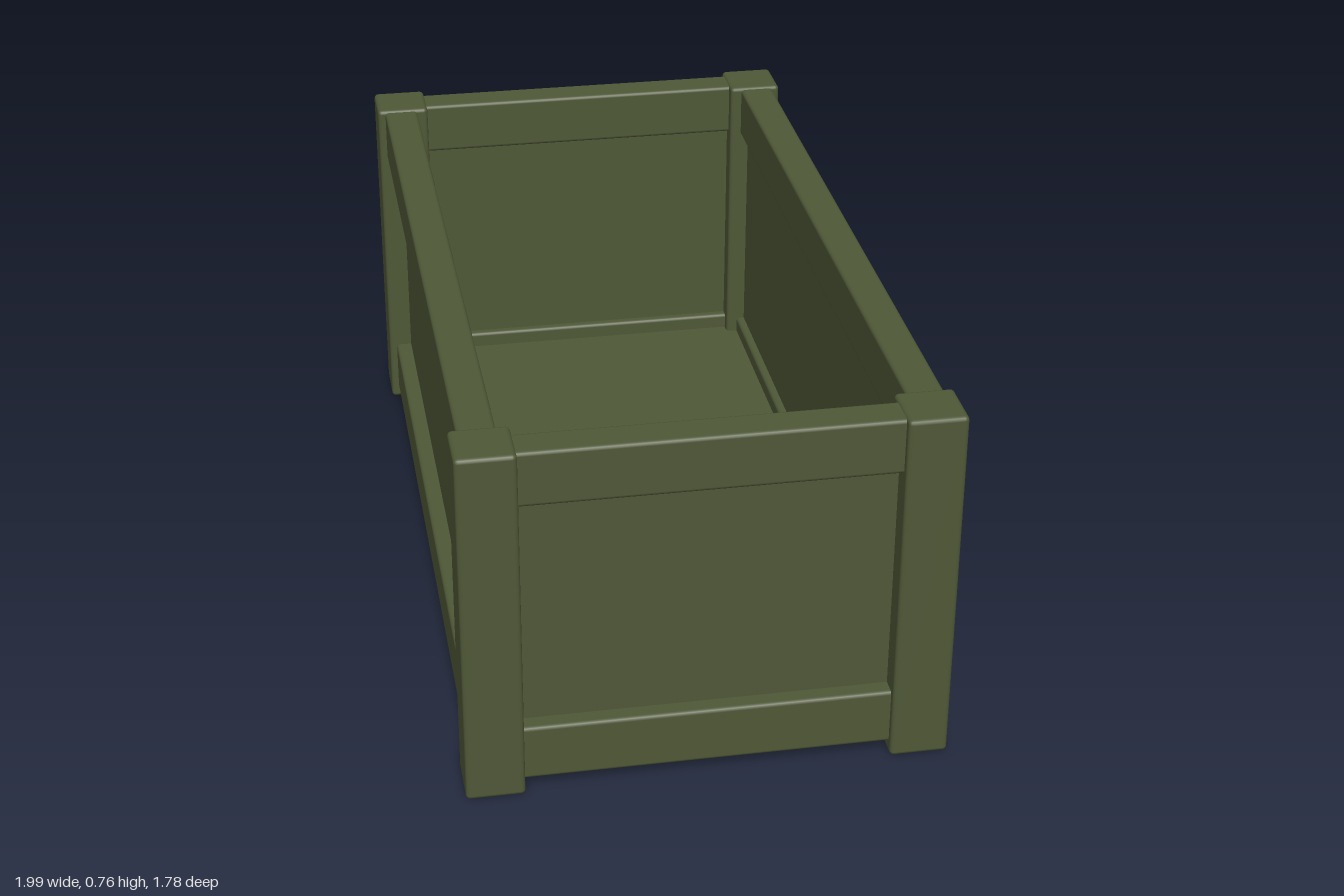
import * as THREE from 'three';
import { RoundedBoxGeometry } from 'three/addons/geometries/RoundedBoxGeometry.js';

const L = 1.764, W = 0.965, H = 0.765; // overall length, width, height
const POST = 0.117;
const INSET = 0.017;                   // rails sit back from the post faces
const RAIL = 0.075;                    // rail thickness
const RECESS = 0.035;                  // panels sit back from the rails

export function createModel() {
  const model = new THREE.Group();
  model.name = 'openCrate';
  const crate = new THREE.Group();
  crate.name = 'crate';
  crate.rotation.y = THREE.MathUtils.degToRad(-34.3);
  model.add(crate);

  const paint = new THREE.MeshStandardMaterial({ color: 0x4f5837 });

  function block(name, size, pos, parent, bevel = 0) {
    const geo = bevel
      ? new RoundedBoxGeometry(...size, 2, bevel)
      : new THREE.BoxGeometry(...size);
    const mesh = new THREE.Mesh(geo, paint);
    mesh.name = name;
    mesh.position.set(...pos);
    parent.add(mesh);
  }

  // Corner posts
  for (const sx of [-1, 1]) {
    for (const sz of [-1, 1]) {
      block('cornerPost', [POST, H, POST],
        [sx * (L - POST) / 2, H / 2, sz * (W - POST) / 2], crate, 0.009);
    }
  }

  // One wall: top rail, bottom rail and a recessed panel, facing +z
  function wall(name, span, out, angle) {
    const side = new THREE.Group();
    side.name = name;
    side.rotation.y = angle;
    const length = span - 2 * POST + 0.04;
    const zRail = out - INSET - RAIL / 2;
    block('topRail', [length, 0.116, RAIL], [0, 0.702, zRail], side, 0.008);
    block('bottomRail', [length, 0.12, RAIL], [0, 0.085, zRail], side, 0.008);
    block('panel', [length, 0.56, 0.022], [0, 0.395, out - INSET - RECESS - 0.011], side);
    crate.add(side);
  }
  wall('frontWall', L, W / 2, 0);
  wall('backWall', L, W / 2, Math.PI);
  wall('leftWall', W, L / 2, Math.PI / 2);
  wall('rightWall', W, L / 2, -Math.PI / 2);

  // Floor set between the bottom rails
  const gap = 2 * (INSET + RAIL) - 0.03;
  block('floor', [L - gap, 0.05, W - gap], [0, 0.085, 0], crate);

  return model;
}
